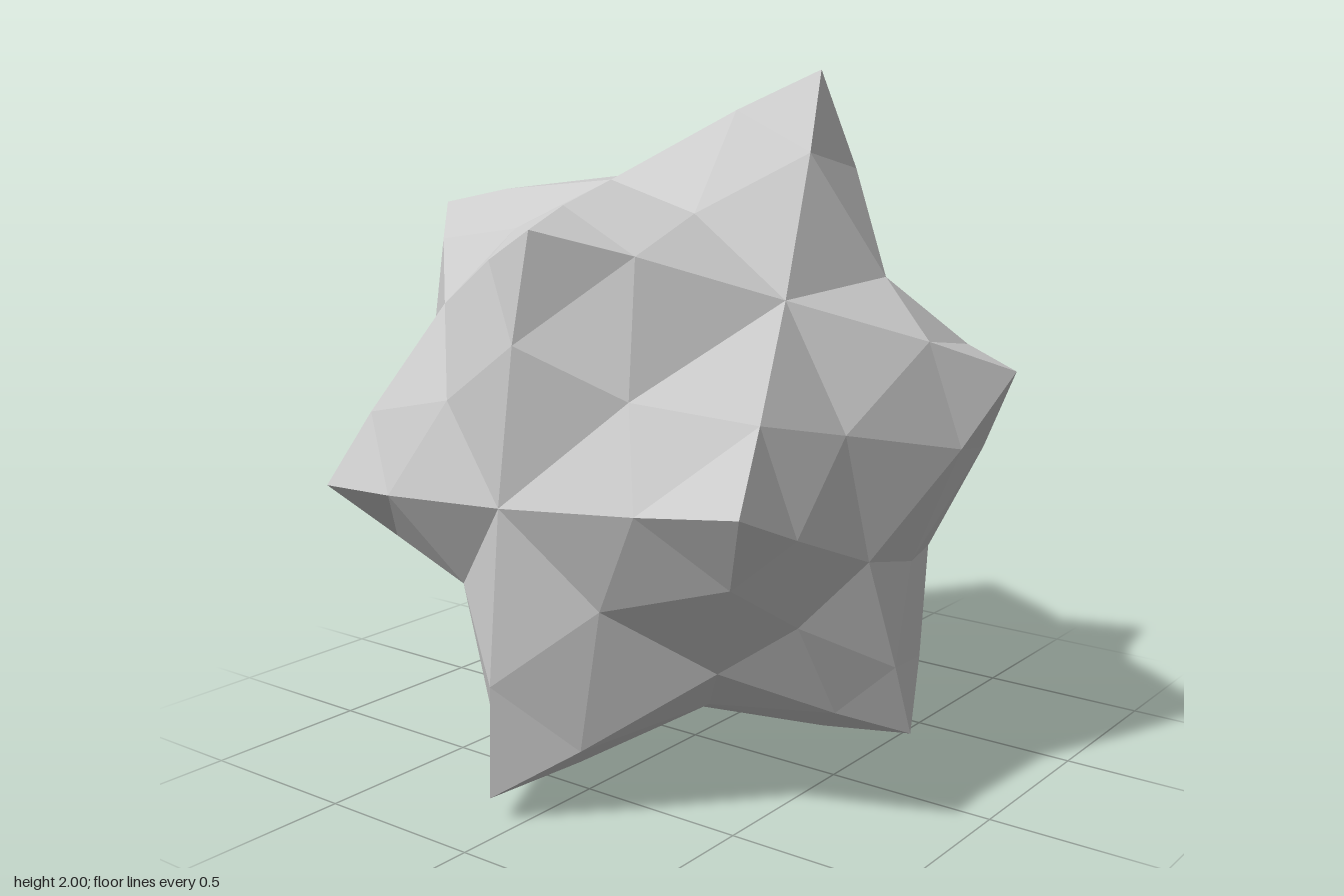
import * as THREE from 'three';

const v3 = (x, y, z) => new THREE.Vector3(x, y, z);

// Spike tips, measured from the core centre
const tips = {
  A: v3(0.315, 1.0, -0.17), B: v3(-0.85, 0.6, 0.15), C: v3(0.11, 0.61, 0.83),
  D: v3(0.945, 0.205, -0.175), E: v3(-0.95, -0.345, -0.21), F: v3(-0.33, -1.0, -0.22),
  G: v3(0.765, -0.8, 0.03), H: v3(-0.07, -0.93, 0.83), I: v3(-0.27, 0.385, -0.85),
  J: v3(0.385, -0.345, -0.85), K: v3(-0.71, -0.16, 0.8), L: v3(0.72, -0.04, 0.79),
};

// Hollows between the spikes, each with the spikes that meet there
const hollows = [
  ['KCLH', v3(0, -0.11, 0.845)], ['ACLD', v3(0.55, 0.42, 0.35)],
  ['KHEF', v3(-0.53, -0.59, 0.29)], ['ADIJ', v3(0.36, 0.28, -0.53)],
  ['IEFJ', v3(-0.33, -0.33, -0.61)], ['BCK', v3(-0.435, 0.36, 0.585)],
  ['ABC', v3(-0.09, 0.7, 0.27)], ['GLH', v3(0.44, -0.565, 0.49)],
  ['DLG', v3(0.735, -0.27, 0.22)], ['DGJ', v3(0.64, -0.35, -0.27)],
  ['JFG', v3(0.29, -0.64, -0.32)], ['FGH', v3(0.15, -0.82, 0.17)],
  ['ABI', v3(-0.21, 0.6, -0.3)], ['BIE', v3(-0.64, 0.2, -0.32)],
  ['KEB', v3(-0.77, 0.07, 0.22)],
];

// Point at t along an edge, bulged outward toward the blended radius of its ends
function bulgedPoint(a, b, t, amount) {
  const point = a.clone().lerp(b, t);
  const radius = THREE.MathUtils.lerp(a.length(), b.length(), t);
  return point.setLength(THREE.MathUtils.lerp(point.length(), radius, amount));
}

// One faceted spike: a fan of subdivided triangles around its tip
function makeSpike(key) {
  const tip = tips[key];
  const axis = tip.clone().normalize();
  const u = v3(0.3, 0.5, 0.8).cross(axis).normalize();
  const w = axis.clone().cross(u);
  const ring = hollows.filter(([keys]) => keys.includes(key)).map(([, p]) => p);
  const angle = (p) => Math.atan2(p.dot(w), p.dot(u));
  ring.sort((p, q) => angle(p) - angle(q));

  const points = [];
  ring.forEach((a, i) => {
    const b = ring[(i + 1) % ring.length];
    const ta = bulgedPoint(tip, a, 0.41, 0.25);
    const tb = bulgedPoint(tip, b, 0.41, 0.25);
    const ab = bulgedPoint(a, b, 0.5, 0.95);
    points.push(tip, ta, tb, ta, a, ab, ta, ab, tb, tb, ab, b);
  });
  const geometry = new THREE.BufferGeometry().setFromPoints(points);
  geometry.computeVertexNormals();
  return geometry;
}

export function createModel() {
  const group = new THREE.Group();
  group.name = 'spikyRock';
  const material = new THREE.MeshStandardMaterial({ color: 0xcccccc, flatShading: true });
  Object.keys(tips).forEach((key, i) => {
    const spike = new THREE.Mesh(makeSpike(key), material);
    spike.name = `spike${i + 1}`;
    spike.position.y = 1;
    group.add(spike);
  });
  return group;
}
